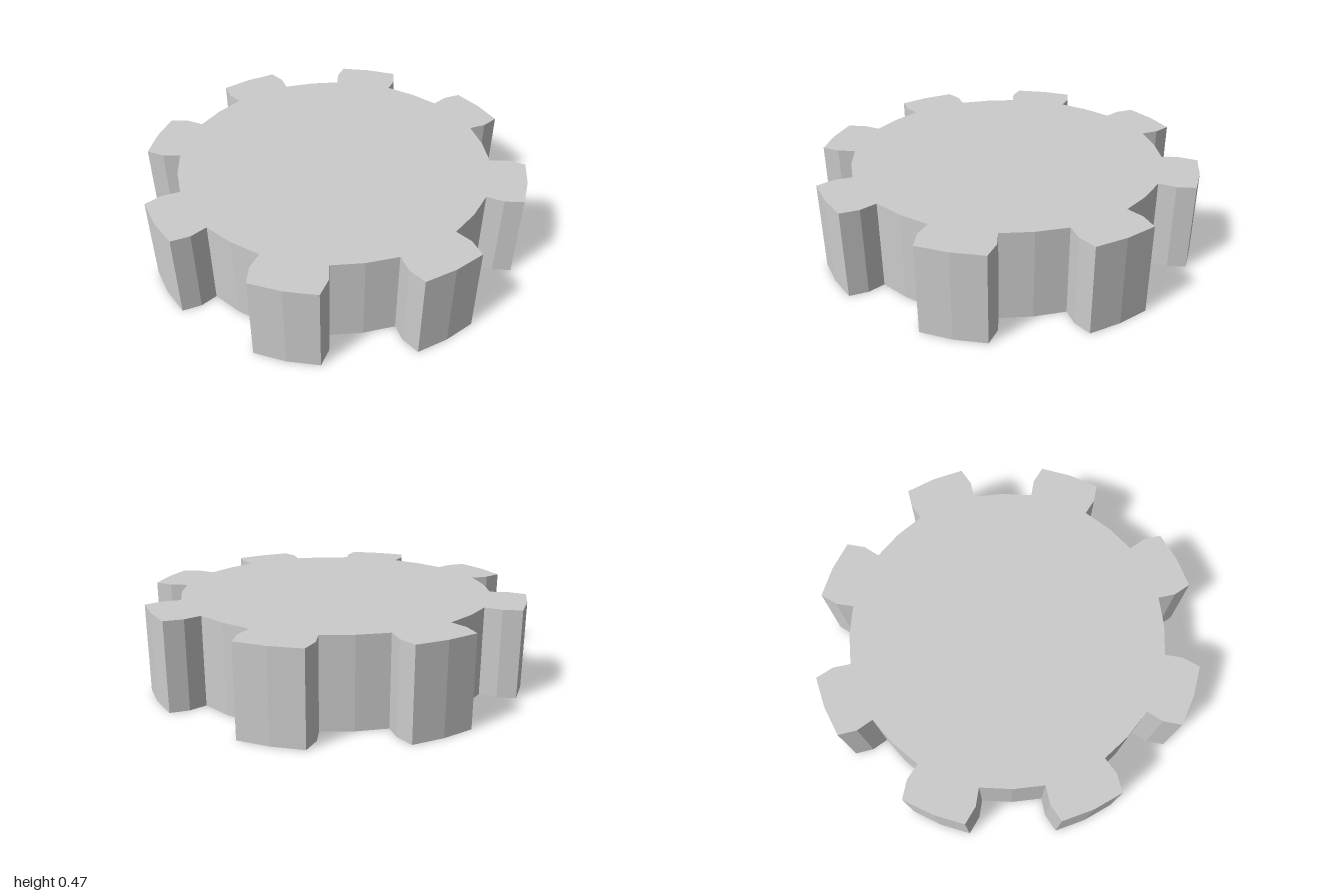
import * as THREE from 'three';

const TEETH = 8;
const HEIGHT = 0.468;

// One tooth pitch as [angle from tooth centre in degrees, radius]
const PITCH = [
  [-11.25, 0.841], [-11.3, 0.934], [-9.3, 1.027], [0, 1.027],
  [9.3, 1.027], [11.3, 0.934], [11.25, 0.841], [22.5, 0.838],
];

export function createModel() {
  const group = new THREE.Group();
  group.name = 'gear';

  // Outline: the pitch repeated around the centre
  const points = [];
  for (let i = 0; i < TEETH; i++) {
    for (const [offset, radius] of PITCH) {
      const a = THREE.MathUtils.degToRad((i + 0.5) * (360 / TEETH) + offset);
      points.push(new THREE.Vector2(radius * Math.cos(a), radius * Math.sin(a)));
    }
  }

  // Solid toothed disc lying flat on the ground
  const geometry = new THREE.ExtrudeGeometry(new THREE.Shape(points), {
    depth: HEIGHT, bevelEnabled: false,
  });
  geometry.rotateX(-Math.PI / 2);

  const material = new THREE.MeshStandardMaterial({ color: 0xcccccc, flatShading: true });
  const disc = new THREE.Mesh(geometry, material);
  disc.name = 'toothedDisc';
  group.add(disc);
  return group;
}
